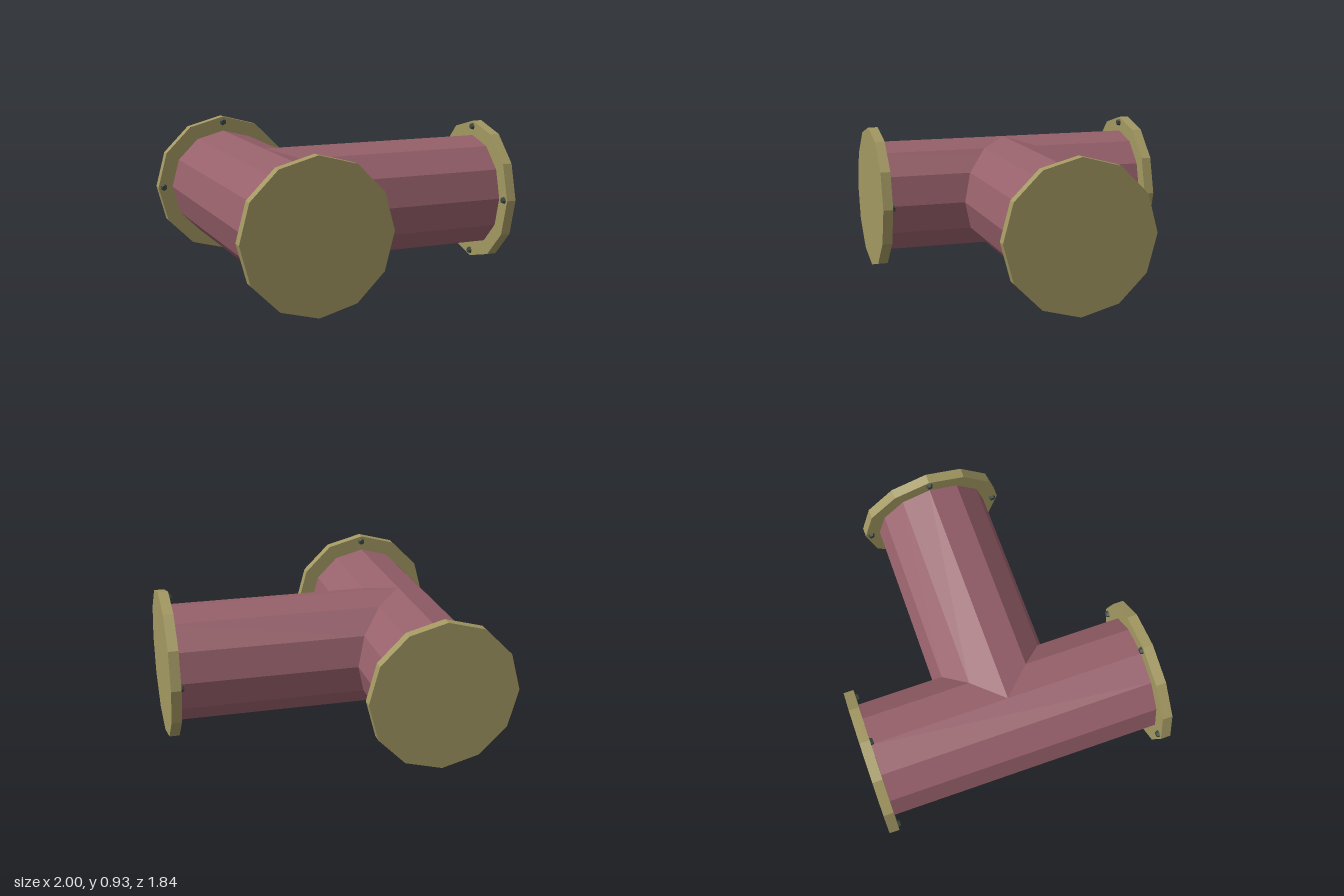
import * as THREE from 'three';

const SIDES = 12;
const AXIS_X = -0.537, AXIS_Y = 0.463;   // centre line of the main pipe
const PIPE_R = 0.366, FLANGE_R = 0.463, FLANGE_T = 0.063;
const RUN_END = 0.92, BRANCH_END = 1.537; // distances from the junction to the outer faces

const mat = (color) => new THREE.MeshStandardMaterial({ color, flatShading: true });

function mesh(name, geometry, material) {
  const m = new THREE.Mesh(geometry, material);
  m.name = name;
  return m;
}

export function createModel() {
  const pipeMat = mat(0x96606a);
  const flangeMat = mat(0xa39862);
  const boltMat = mat(0x3c4842);

  const model = new THREE.Group();
  model.name = 'teePipe';
  const tee = new THREE.Group();
  tee.name = 'tee';
  tee.position.set(AXIS_X, AXIS_Y, 0);
  model.add(tee);

  // Straight main pipe along z
  const runLength = 2 * (RUN_END - FLANGE_T / 2);
  const run = new THREE.CylinderGeometry(PIPE_R, PIPE_R, runLength, SIDES, 1, true);
  run.rotateX(Math.PI / 2);
  tee.add(mesh('mainPipe', run, pipeMat));

  // Side branch along +x, its inner end mitred to meet the main pipe
  const branchLength = BRANCH_END - FLANGE_T / 2;
  const branch = new THREE.CylinderGeometry(PIPE_R, PIPE_R, branchLength, SIDES, 1, true);
  branch.rotateZ(-Math.PI / 2);
  branch.translate(branchLength / 2, 0, 0);
  const p = branch.attributes.position;
  for (let i = 0; i < p.count; i++) {
    if (p.getX(i) < 0.01) p.setX(i, Math.abs(p.getZ(i)));
  }
  branch.computeVertexNormals();
  tee.add(mesh('branchPipe', branch, pipeMat));

  // Flange plate with four bolt heads on its inner face; outward is local +y
  function addFlange(name, distance, rx, rz) {
    const flange = new THREE.Group();
    flange.name = name;
    const plate = mesh('plate',
      new THREE.CylinderGeometry(FLANGE_R, FLANGE_R, FLANGE_T, SIDES), flangeMat);
    plate.position.y = distance - FLANGE_T / 2;
    flange.add(plate);
    for (let i = 0; i < 4; i++) {
      const a = (i * Math.PI) / 2;
      const bolt = mesh('bolt', new THREE.CylinderGeometry(0.026, 0.017, 0.024, 6), boltMat);
      bolt.position.set(Math.sin(a) * 0.425, distance - FLANGE_T - 0.006, Math.cos(a) * 0.425);
      flange.add(bolt);
    }
    flange.rotation.set(rx, 0, rz);
    tee.add(flange);
  }
  addFlange('frontFlange', RUN_END, Math.PI / 2, 0);
  addFlange('backFlange', RUN_END, -Math.PI / 2, 0);
  addFlange('branchFlange', BRANCH_END, 0, -Math.PI / 2);

  return model;
}
